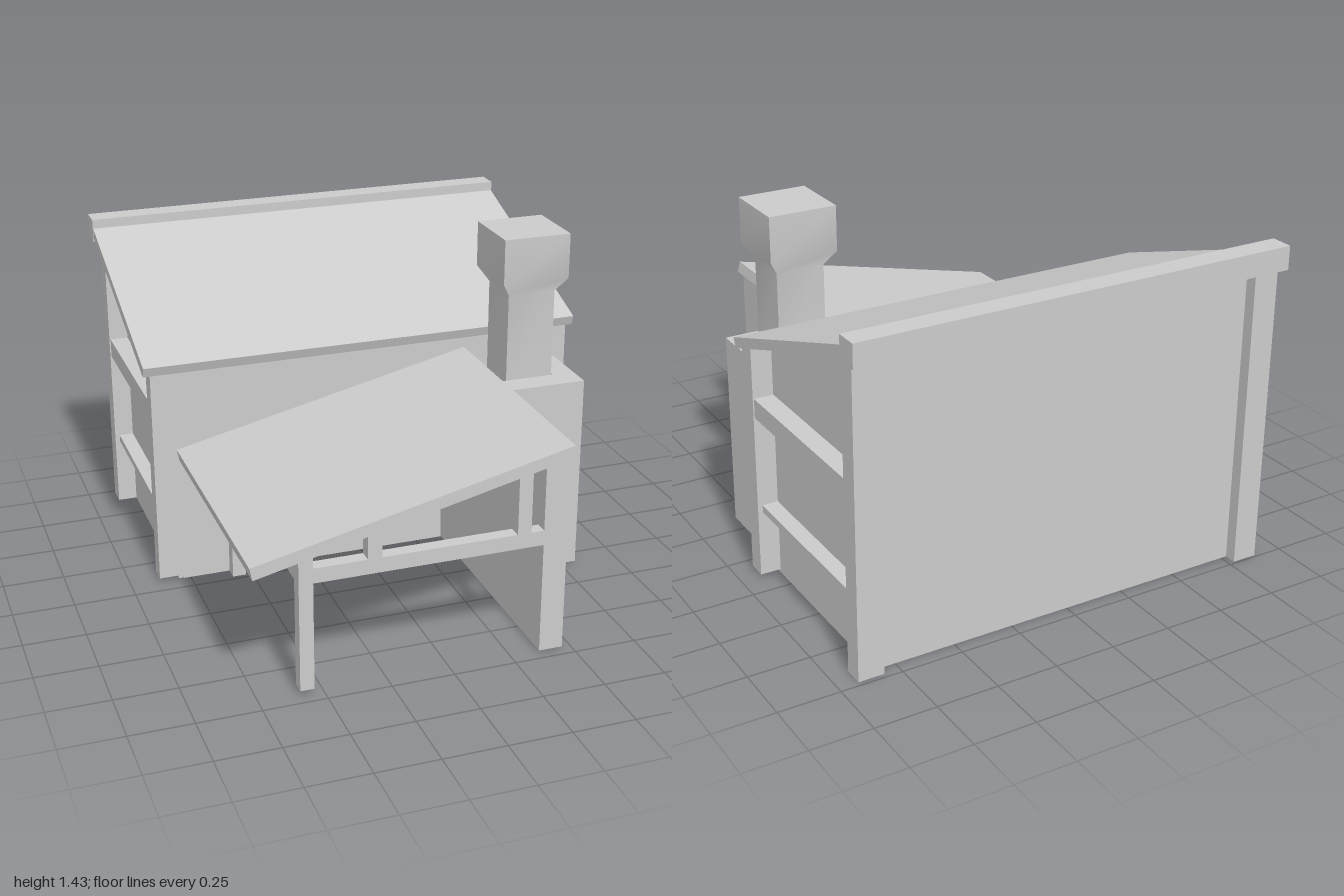
import * as THREE from 'three';

const flat = new THREE.MeshStandardMaterial({ color: 0xcccccc, flatShading: true });
const smooth = new THREE.MeshStandardMaterial({ color: 0xcccccc });

export function createModel() {
  const model = new THREE.Group();
  model.name = 'cabin';

  const add = (name, geometry, material = flat) => {
    const mesh = new THREE.Mesh(geometry, material);
    mesh.name = name;
    model.add(mesh);
  };

  // Box given by its limits on each axis
  const box = (name, [x0, x1], [y0, y1], [z0, z1]) =>
    add(name, new THREE.BoxGeometry(x1 - x0, y1 - y0, z1 - z0)
      .translate((x0 + x1) / 2, (y0 + y1) / 2, (z0 + z1) / 2));

  const extrude = (points, depth) => new THREE.ExtrudeGeometry(
    new THREE.Shape(points.map(([a, b]) => new THREE.Vector2(a, b))),
    { depth, bevelEnabled: false });

  // Profiles in (z, y) swept along x, (x, y) swept along z, (x, z) swept along y
  const sweepX = (name, points, x0, x1) =>
    add(name, extrude(points, x1 - x0).rotateY(-Math.PI / 2).translate(x1, 0, 0));
  const sweepZ = (name, points, z0, z1) =>
    add(name, extrude(points, z1 - z0).translate(0, 0, z0));
  const sweepY = (name, points, y0, y1) =>
    add(name, extrude(points, y1 - y0).rotateX(Math.PI / 2).translate(0, y1, 0));

  // Undersides of the two sloping roofs
  const mainUnder = z => 0.936 - 0.345 * z;
  const porchUnder = x => 0.717 + 0.234 * x;

  // House body, front wall and main roof
  sweepX('houseBody', [[-0.08, 0], [-0.08, mainUnder(-0.08)], [-0.94, mainUnder(-0.94)], [-0.94, 0]], -0.8, 0.835);
  sweepZ('frontWall', [[-0.88, 0.015], [-0.78, 0.015], [-0.78, 0], [0.83, 0], [0.83, 0.963], [-0.88, 0.963]], -0.1, -0.076);
  sweepX('mainRoof', [[0, 0.98], [-0.014, 0.94], [-0.92, mainUnder(-0.92)], [-0.92, 1.293]], -0.92, 0.922);
  box('ridgeBeam', [-0.922, 0.924], [1.23, 1.327], [-1, -0.905]);

  // Corner posts and side rails
  for (const side of [-1, 1]) {
    const edges = (outer, inner) => [side * outer + 0.02, side * inner + 0.02].sort((a, b) => a - b);
    const [x0, x1] = edges(0.9, 0.795);
    const front = side < 0 ? -0.08 : -0.07;
    sweepX('frontCornerPost', [[front, 0.015], [front, mainUnder(front)],
      [-0.15, mainUnder(-0.15)], [-0.15, 0.015]], x0, x1);
    box('rearCornerPost', [x0, x1], [0, 1.24], [side < 0 ? -0.99 : -0.98, -0.9]);
    box('upperSideRail', edges(0.895, 0.79), [0.7, 0.78], [-0.91, -0.14]);
    box('lowerSideRail', edges(0.88, 0.79), [0.29, 0.32], [-0.91, -0.14]);
  }

  // Porch roof and the wall that carries its high edge
  sweepZ('porchRoof', [[-0.785, 0.585], [0.458, 0.873], [0.468, 0.827], [-0.775, 0.535]], -0.08, 1);
  sweepZ('porchWall', [[0.367, 0.005], [0.463, 0.005], [0.463, porchUnder(0.463)],
    [0.367, porchUnder(0.367)]], -0.08, 0.955);

  // Porch framing
  const upright = (name, x0, x1, y0, z0, z1) => sweepZ(name,
    [[x0, y0], [x1, y0], [x1, porchUnder(x1)], [x0, porchUnder(x0)]], z0, z1);
  upright('frontPorchPost', -0.593, -0.538, 0.022, 0.9, 0.955);
  upright('rearPorchPost', -0.593, -0.538, 0.022, -0.035, 0.02);
  upright('leftPorchStrut', -0.33, -0.275, 0.5, 0.9, 0.955);
  upright('rightPorchStrut', 0.26, 0.315, 0.5, 0.9, 0.955);
  box('frontPorchBeam', [-0.54, 0.37], [0.46, 0.52], [0.9, 0.955]);
  box('sidePorchBeam', [-0.593, -0.538], [0.46, 0.52], [0.015, 0.91]);

  // Chimney: two walls in an L around a shaft that flares to a wider head
  sweepY('chimneyBase', [[0.463, 0.338], [0.815, 0.338], [0.815, -0.09], [0.722, -0.09],
    [0.722, 0.235], [0.463, 0.235]], 0.008, 0.83);
  const rings = [[0.75, 0.1, 0.098], [1.19, 0.1, 0.098], [1.25, 0.14, 0.138], [1.435, 0.14, 0.138]];
  const shaft = new THREE.BoxGeometry(2, 3, 2, 1, 3, 1);
  const p = shaft.attributes.position;
  for (let i = 0; i < p.count; i++) {
    const [y, halfX, halfZ] = rings[Math.round(p.getY(i) + 1.5)];
    p.setXYZ(i, 0.62 + p.getX(i) * halfX, y, 0.127 + p.getZ(i) * halfZ);
  }
  shaft.computeVertexNormals();
  add('chimneyShaft', shaft, smooth);

  return model;
}
